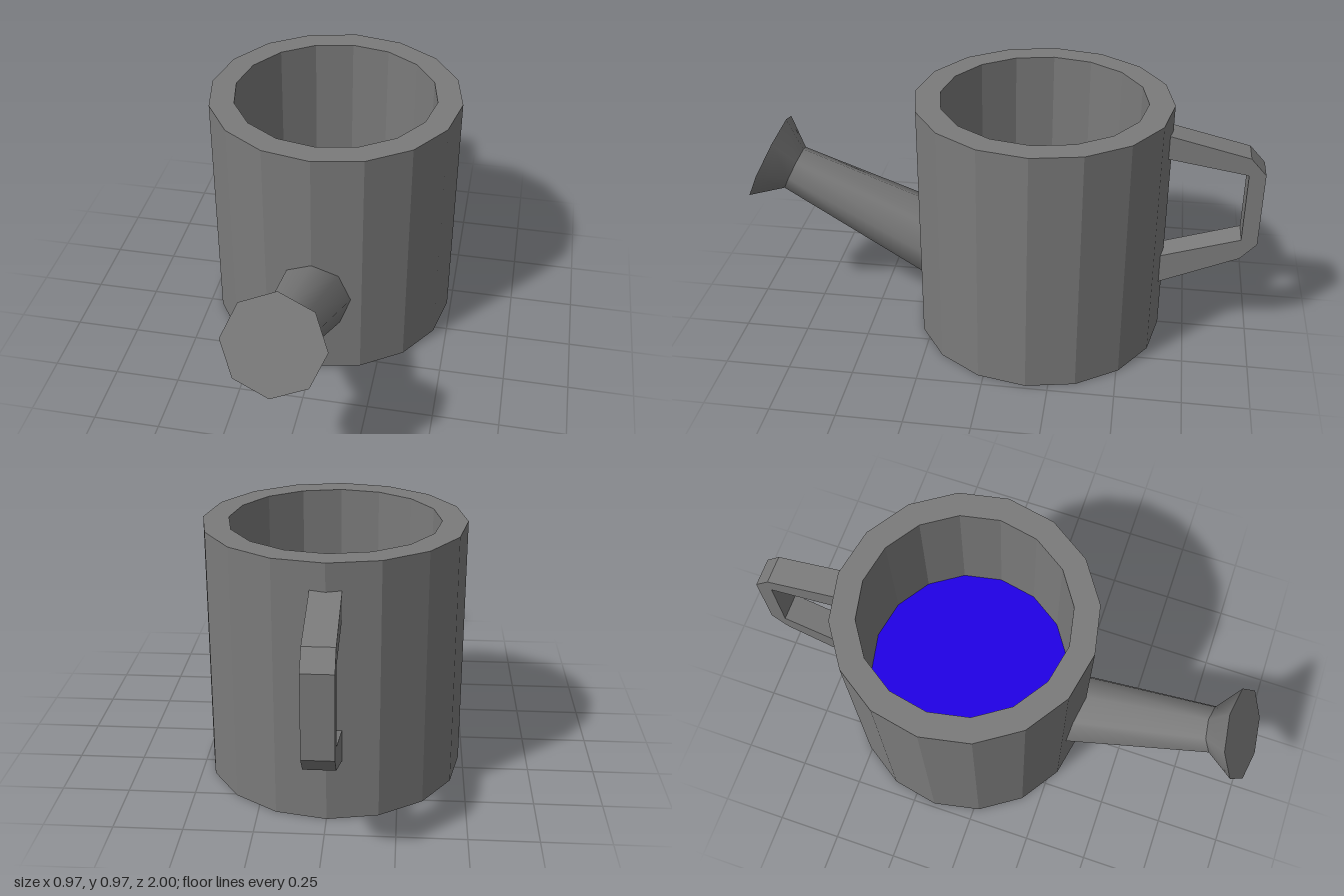
import * as THREE from 'three';

const BODY_Z = -0.165;
const GREY = 0x7b7b7b;

function material(color, flatShading) {
  return new THREE.MeshStandardMaterial({ color, flatShading });
}

function part(name, geometry, mat) {
  const mesh = new THREE.Mesh(geometry, mat);
  mesh.name = name;
  return mesh;
}

export function createModel() {
  const model = new THREE.Group();
  model.name = 'wateringCan';
  const facetedGrey = material(GREY, true);
  const smoothGrey = material(GREY, false);

  // Thick-walled sixteen-sided body with a closed bottom
  const profile = [[0, 0], [0.485, 0], [0.485, 0.97], [0.39, 0.97], [0.39, 0.1], [0, 0.1]]
    .map(([r, y]) => new THREE.Vector2(r, y));
  const body = part('body', new THREE.LatheGeometry(profile, 16), facetedGrey);
  body.position.z = BODY_Z;
  model.add(body);

  // Water surface, its corners lined up with the inner wall
  const waterGeometry = new THREE.CircleGeometry(0.39, 16).rotateX(-Math.PI / 2);
  const water = part('water', waterGeometry, material(0x2000e6, false));
  water.position.set(0, 0.452, BODY_Z);
  model.add(water);

  // Spout and rose share one tilted axis, with the neck at its origin
  const spoutGroup = new THREE.Group();
  spoutGroup.name = 'spoutAssembly';
  spoutGroup.position.set(0, 0.603, 0.822);
  spoutGroup.rotation.x = THREE.MathUtils.degToRad(63.8);
  const spoutLength = 0.7;
  const spout = part('spout', new THREE.CylinderGeometry(0.093, 0.155, spoutLength, 8), smoothGrey);
  spout.position.y = -spoutLength / 2;
  const rose = part('rose', new THREE.CylinderGeometry(0.181, 0.093, 0.108, 8), smoothGrey);
  rose.position.y = 0.054;
  spoutGroup.add(spout, rose);
  model.add(spoutGroup);

  // Angular handle: side outline (distance backwards, height), ends sunk into the wall
  const outline = [
    [0.6, 0.88], [0.94, 0.8], [1, 0.735], [1, 0.435], [0.94, 0.367], [0.6, 0.215],
    [0.6, 0.34], [0.938, 0.45], [0.938, 0.73], [0.6, 0.783],
  ].map(([x, y]) => new THREE.Vector2(x, y));
  const handleGeometry = new THREE.ExtrudeGeometry(new THREE.Shape(outline), {
    depth: 0.11, bevelEnabled: false,
  });
  handleGeometry.translate(0, 0, -0.055).rotateY(Math.PI / 2);
  model.add(part('handle', handleGeometry, facetedGrey));

  return model;
}
